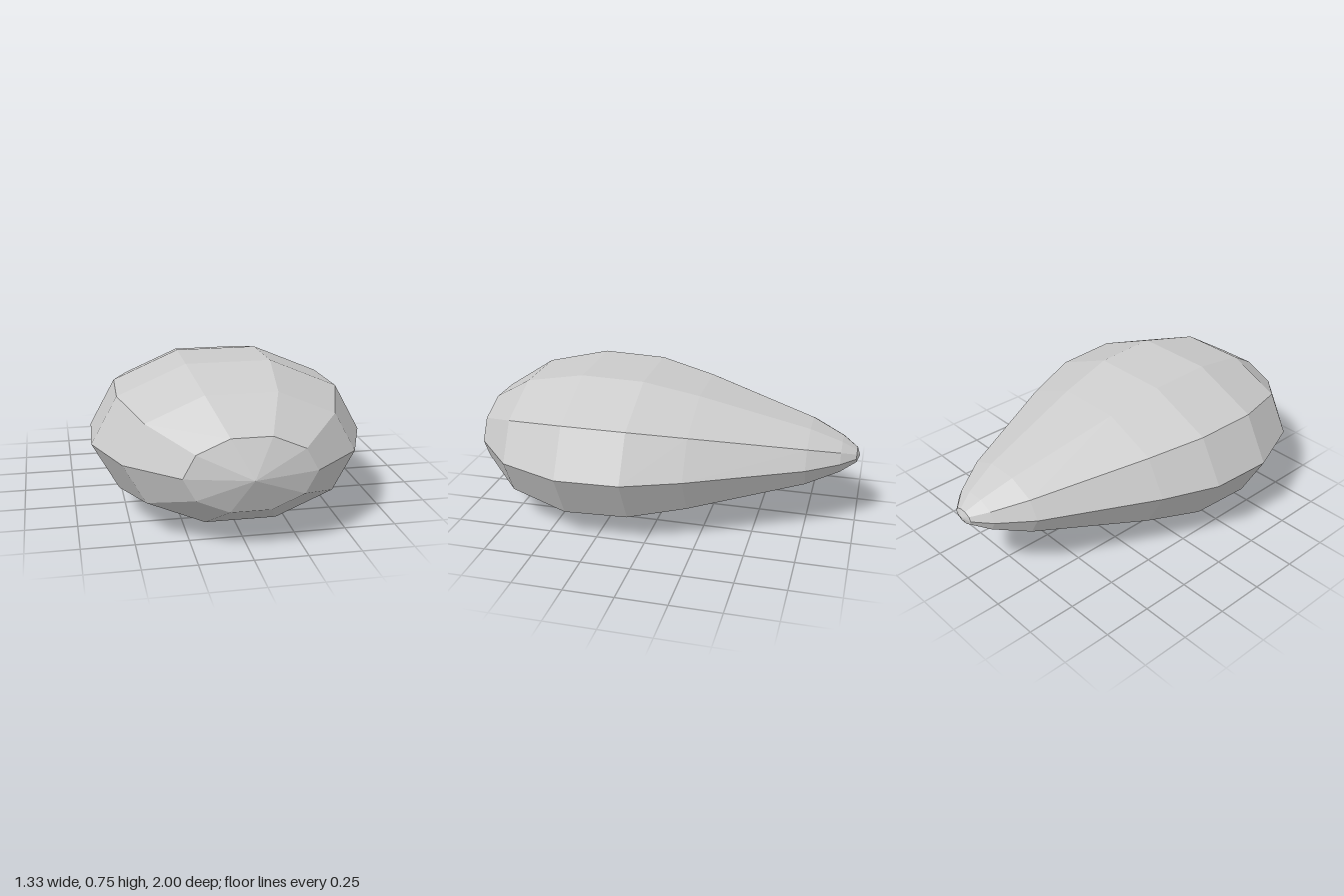
import * as THREE from 'three';

export function createModel() {
  const group = new THREE.Group();

  // Half outline from the narrow back tip to the blunt front: [radius, z]
  const profile = [
    [0, -1], [0.06, -0.985], [0.145, -0.91], [0.265, -0.75], [0.54, -0.2],
    [0.65, 0.08], [0.665, 0.4], [0.545, 0.71], [0.305, 0.925], [0, 1],
  ].map(([r, z]) => new THREE.Vector2(r, z));

  // Ten-sided teardrop, laid along z and flattened in height
  const geometry = new THREE.LatheGeometry(profile, 10, Math.PI / 2);
  geometry.rotateX(Math.PI / 2);
  geometry.scale(1, 0.593, 1);
  geometry.computeBoundingBox();
  geometry.translate(0, -geometry.boundingBox.min.y, 0);

  const body = new THREE.Mesh(
    geometry,
    new THREE.MeshStandardMaterial({ color: 0xcccccc, flatShading: true }),
  );
  body.name = 'teardropBody';
  group.add(body);
  return group;
}
